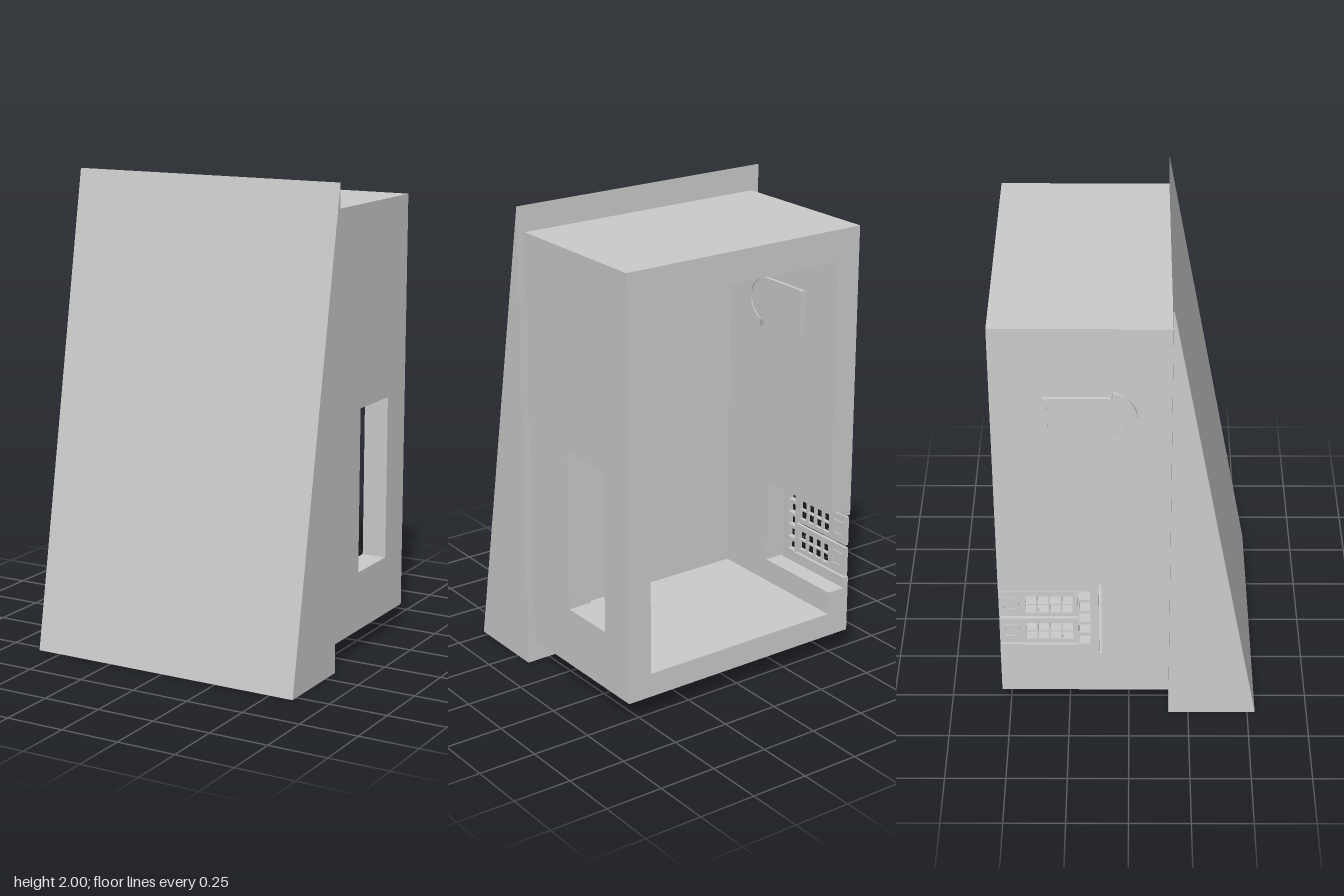
import * as THREE from 'three';

const material = new THREE.MeshStandardMaterial({ color: 0xcccccc, flatShading: true });

// Side profiles are drawn in (z, y); the shape's own x is -z.
const trace = (points, Type = THREE.Shape) => new Type(points.map(([z, y]) => new THREE.Vector2(-z, y)));
const rect = (z0, z1, y0, y1, Type) => trace([[z0, y0], [z0, y1], [z1, y1], [z1, y0]], Type);

function add(parent, name, geometry) {
  const mesh = new THREE.Mesh(geometry, material);
  mesh.name = name;
  parent.add(mesh);
  return mesh;
}

// Extrude a side profile along x from x0 to x1
function slab(parent, name, shape, x0, x1) {
  const geo = new THREE.ExtrudeGeometry(shape, { depth: x1 - x0, bevelEnabled: false, curveSegments: 16 });
  geo.rotateY(Math.PI / 2);
  geo.translate(x0, 0, 0);
  return add(parent, name, geo);
}

// Points of an arc opening towards the front (+z)
function arc(cz, cy, r, from, to, n = 16) {
  return Array.from({ length: n + 1 }, (_, i) => {
    const a = from + (to - from) * i / n;
    return [cz + r * Math.cos(a), cy + r * Math.sin(a)];
  });
}

export function createModel() {
  const model = new THREE.Group();
  const W = 0.57, IN = 0.463, BACK = -0.533, FRONT = 0.167, LOW = 0.097, HIGH = 1.89;

  // Sloping front panel
  slab(model, 'frontWedge', trace([[0.533, 0], [FRONT, 0], [FRONT, 2]]), -0.605, 0.605);

  // Housing, open at the back
  for (const [name, y0, y1] of [['housingFloor', LOW, 0.2], ['housingRoof', 1.76, HIGH]]) {
    const box = new THREE.BoxGeometry(2 * IN, y1 - y0, FRONT - BACK);
    add(model, name, box).position.set(0, (y0 + y1) / 2, (FRONT + BACK) / 2);
  }

  // Left wall with a tall window
  const leftWall = rect(BACK, FRONT, LOW, HIGH);
  leftWall.holes.push(rect(-0.367, -0.108, 0.35, 1.05, THREE.Path));
  slab(model, 'leftWall', leftWall, IN, W);

  // Right wall with a notch cut in from its back edge
  const N0 = 0.3, N1 = 0.667, NZ = -0.112;
  slab(model, 'rightWall', trace([
    [BACK, LOW], [BACK, N0], [NZ, N0], [NZ, N1], [BACK, N1], [BACK, HIGH], [FRONT, HIGH], [FRONT, LOW],
  ]), -W, -IN);

  // Grille in the notch: a post with one column of openings, and two panels
  const grille = new THREE.Group();
  grille.name = 'sideGrille';
  model.add(grille);
  const post = rect(-0.207, -0.123, N0, N1);
  for (let i = 0; i < 5; i++) {
    const y = 0.352 + i * 0.0585;
    post.holes.push(rect(-0.203, -0.158, y, y + 0.044, THREE.Path));
  }
  slab(grille, 'grillePost', post, -W, -0.545);
  slab(grille, 'grilleTopRail', rect(BACK, -0.207, 0.633, N1), -W, -0.545);
  slab(grille, 'grilleBottomRail', rect(BACK, -0.207, N0, 0.347), -W, -0.545);
  for (const y0 of [0.353, 0.495]) {
    const panel = rect(BACK, -0.209, y0, y0 + 0.13);
    for (let c = 0; c < 4; c++) for (let r = 0; r < 2; r++) {
      const z = -0.23 - c * 0.05, y = y0 + 0.02 + r * 0.046;
      panel.holes.push(rect(z - 0.042, z, y, y + 0.039, THREE.Path));
    }
    slab(grille, 'grillePanel', panel, -0.565, -0.55);
    // Small pull bracket at the back of each panel
    const pull = rect(-0.52, -0.45, y0 + 0.03, y0 + 0.1);
    pull.holes.push(rect(-0.51, -0.46, y0 + 0.042, y0 + 0.088, THREE.Path));
    slab(grille, 'panelPull', pull, -W, -0.545);
  }

  // Round-ended frame standing proud on both faces of the right wall
  const CY = 1.49, H = Math.PI / 2;
  const outline = (z0, r, Type) =>
    trace([[z0, CY - r], ...arc(-0.09, CY, r, -H, H), [z0, CY + r]], Type);
  const frame = outline(-0.33, 0.097);
  frame.holes.push(outline(-0.308, 0.07, THREE.Path));
  const port = new THREE.Group();
  port.name = 'sidePort';
  model.add(port);
  const a = 1.32;
  const collar = trace([...arc(-0.09, CY, 0.125, -a, a), ...arc(-0.09, CY, 0.09, a, -a)]);
  for (const [x0, x1] of [[-0.585, -W], [-IN, -0.448]]) slab(port, 'portFrame', frame, x0, x1);
  for (const [x0, x1] of [[-0.59, -W], [-IN, -0.443]]) slab(port, 'portCollar', collar, x0, x1);
  for (const [x0, x1] of [[-0.59, -W], [-IN, -0.443]])
    slab(port, 'portEndBar', rect(-0.33, -0.312, CY - 0.097, CY + 0.097), x0, x1);

  return model;
}
